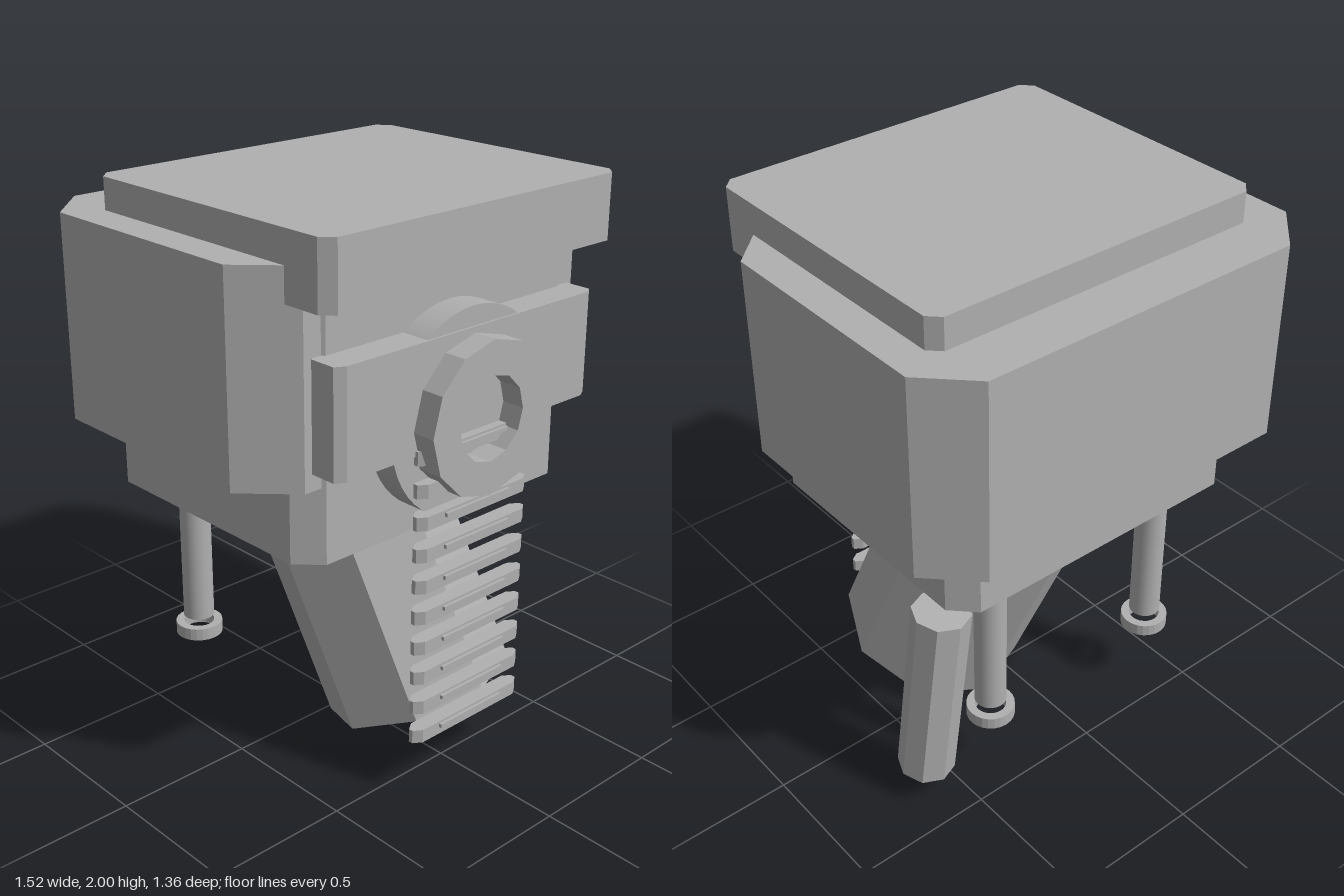
import * as THREE from 'three';

export function createModel() {
  const model = new THREE.Group();
  const grey = new THREE.MeshStandardMaterial({ color: 0xb0b0b0 });
  grey.name = 'grey';

  const add = (name, geometry, x = 0, y = 0, z = 0, parent = model) => {
    geometry = geometry.index ? geometry.toNonIndexed() : geometry;
    const mesh = new THREE.Mesh(geometry, grey);
    mesh.name = name;
    mesh.position.set(x, y, z);
    parent.add(mesh);
    return mesh;
  };

  // Upright block with its four vertical corners cut off
  const block = (w, h, d, cutX, cutZ = cutX) => {
    const x = w / 2, z = d / 2;
    const outline = [
      [x, -z + cutZ], [x, z - cutZ], [x - cutX, z], [-x + cutX, z],
      [-x, z - cutZ], [-x, -z + cutZ], [-x + cutX, -z], [x - cutX, -z],
    ].map(([a, b]) => new THREE.Vector2(a, b));
    return new THREE.ExtrudeGeometry(new THREE.Shape(outline), { depth: h, bevelEnabled: false })
      .rotateX(-Math.PI / 2);
  };

  // Flat ring facing +z
  const ring = (outer, inner, depth, sides) => {
    const circle = (r) => Array.from({ length: sides }, (_, i) => {
      const a = (i / sides) * Math.PI * 2;
      return new THREE.Vector2(Math.cos(a) * r, Math.sin(a) * r);
    });
    const shape = new THREE.Shape(circle(outer));
    shape.holes.push(new THREE.Path(circle(inner)));
    return new THREE.ExtrudeGeometry(shape, { depth, bevelEnabled: false });
  };

  // Flat-sided prism between two points
  const prism = (name, from, to, radius, sides) => {
    const a = new THREE.Vector3(...from), b = new THREE.Vector3(...to);
    const axis = b.clone().sub(a);
    const geometry = new THREE.CylinderGeometry(radius, radius, axis.length(), sides).toNonIndexed();
    geometry.computeVertexNormals();
    const mesh = add(name, geometry);
    mesh.position.copy(a).add(b).multiplyScalar(0.5);
    mesh.quaternion.setFromUnitVectors(new THREE.Vector3(0, 1, 0), axis.normalize());
  };

  // Stacked housing
  add('lid', block(1.28, 0.225, 1.105, 0.04), 0, 1.775, 0.0675);
  add('upperBody', block(1.525, 0.71, 1.155, 0.16), 0, 1.18, -0.1025);
  add('lowerBody', block(1.21, 0.81, 1.025, 0.08), 0, 0.92, -0.0275);

  // Front band, disc and ring
  add('frontBand', block(1.155, 0.365, 0.135, 0.035, 0.02), 0, 1.24, 0.5275);
  const disc = add('frontDisc', new THREE.CylinderGeometry(0.35, 0.35, 0.13, 48), 0, 1.322, 0.522);
  disc.rotation.x = Math.PI / 2;
  add('frontRing', ring(0.263, 0.145, 0.09, 12), 0, 1.322, 0.588);

  // Column of floating rungs, each with a narrow raised strip
  const rungs = new THREE.Group();
  rungs.name = 'rungs';
  model.add(rungs);
  for (let i = 0; i < 10; i++) {
    const y = 0.23 + i * 0.1117;
    add('rung', block(0.51, 0.048, 0.056, 0.03, 0.02), 0, y - 0.024, 0.598, rungs);
    add('rungStrip', new THREE.BoxGeometry(0.295, 0.014, 0.02), 0, y + 0.009, 0.627, rungs);
  }

  // Leaning central column and small side prism
  prism('centralColumn', [0.145, 0.117, 0.24], [-0.031, 1.2, -0.155], 0.343, 8);
  prism('sidePrism', [0.605, 0.12, -0.325], [0.56, 0.837, -0.38], 0.101, 8);

  // Rear rods with a loose ring under each
  for (const side of [-1, 1]) {
    add('rod', new THREE.CylinderGeometry(0.056, 0.056, 0.64, 24), side * 0.37, 0.66, -0.395);
    const collar = add('rodRing', ring(0.085, 0.055, 0.045, 24), side * 0.37, 0.27, -0.395);
    collar.rotation.x = -Math.PI / 2;
  }

  return model;
}
